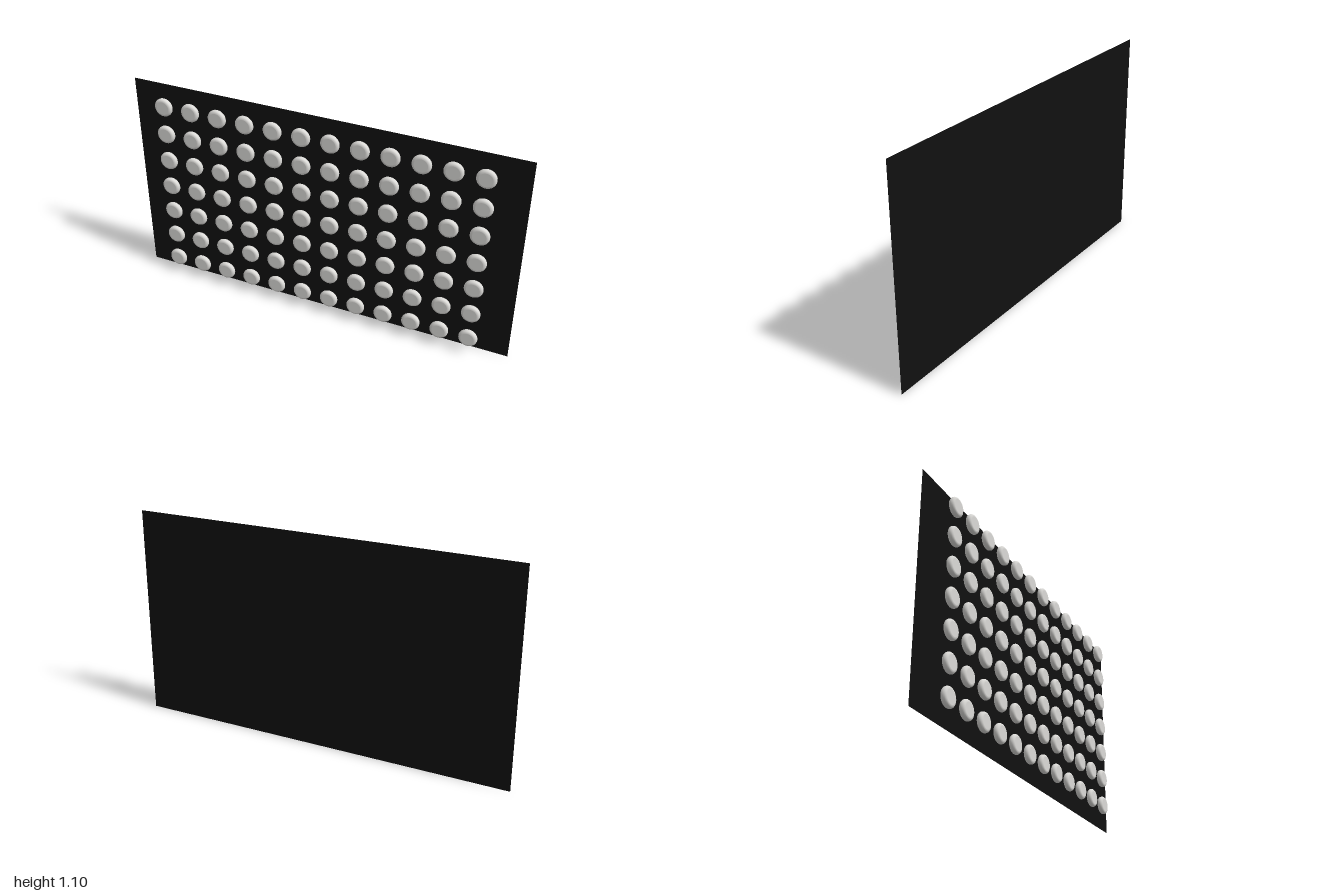
import * as THREE from 'three';

export function createModel() {
  const group = new THREE.Group();
  const black = new THREE.MeshStandardMaterial({ color: 0x101010, side: THREE.DoubleSide });
  black.name = 'black board';
  const pale = new THREE.MeshStandardMaterial({ color: 0xdcdbd8 });
  pale.name = 'pale grey';

  // Thin backing board
  const board = new THREE.Mesh(new THREE.PlaneGeometry(2, 1.1), black);
  board.name = 'board';
  board.position.set(0, 0.55, -0.036);
  group.add(board);

  // Disc with flat faces and a rounded rim, turned to face +z
  const radius = 0.047, half = 0.0145, round = 0.013, steps = 4;
  const profile = [new THREE.Vector2(0, -half), new THREE.Vector2(radius - round - 0.001, -half)];
  for (const side of [-1, 1]) {
    for (let i = 0; i <= steps; i++) {
      const a = (side < 0 ? i / steps - 1 : i / steps) * Math.PI / 2;
      profile.push(new THREE.Vector2(
        radius - round + round * Math.cos(a),
        side * (half - round) + round * Math.sin(a)));
    }
  }
  profile.push(new THREE.Vector2(radius - round - 0.001, half), new THREE.Vector2(0, half));
  const discGeometry = new THREE.LatheGeometry(profile, 32);
  discGeometry.rotateX(Math.PI / 2);

  // Grid of discs floating just in front of the board
  const discs = new THREE.Group();
  discs.name = 'discs';
  const columns = 12, rows = 7;
  for (let r = 0; r < rows; r++) {
    for (let c = 0; c < columns; c++) {
      const disc = new THREE.Mesh(discGeometry, pale);
      disc.name = `disc row ${r + 1} column ${c + 1}`;
      disc.position.set((c - (columns - 1) / 2) * 0.147, 0.099 + r * 0.1508, 0.0215);
      discs.add(disc);
    }
  }
  group.add(discs);
  return group;
}
